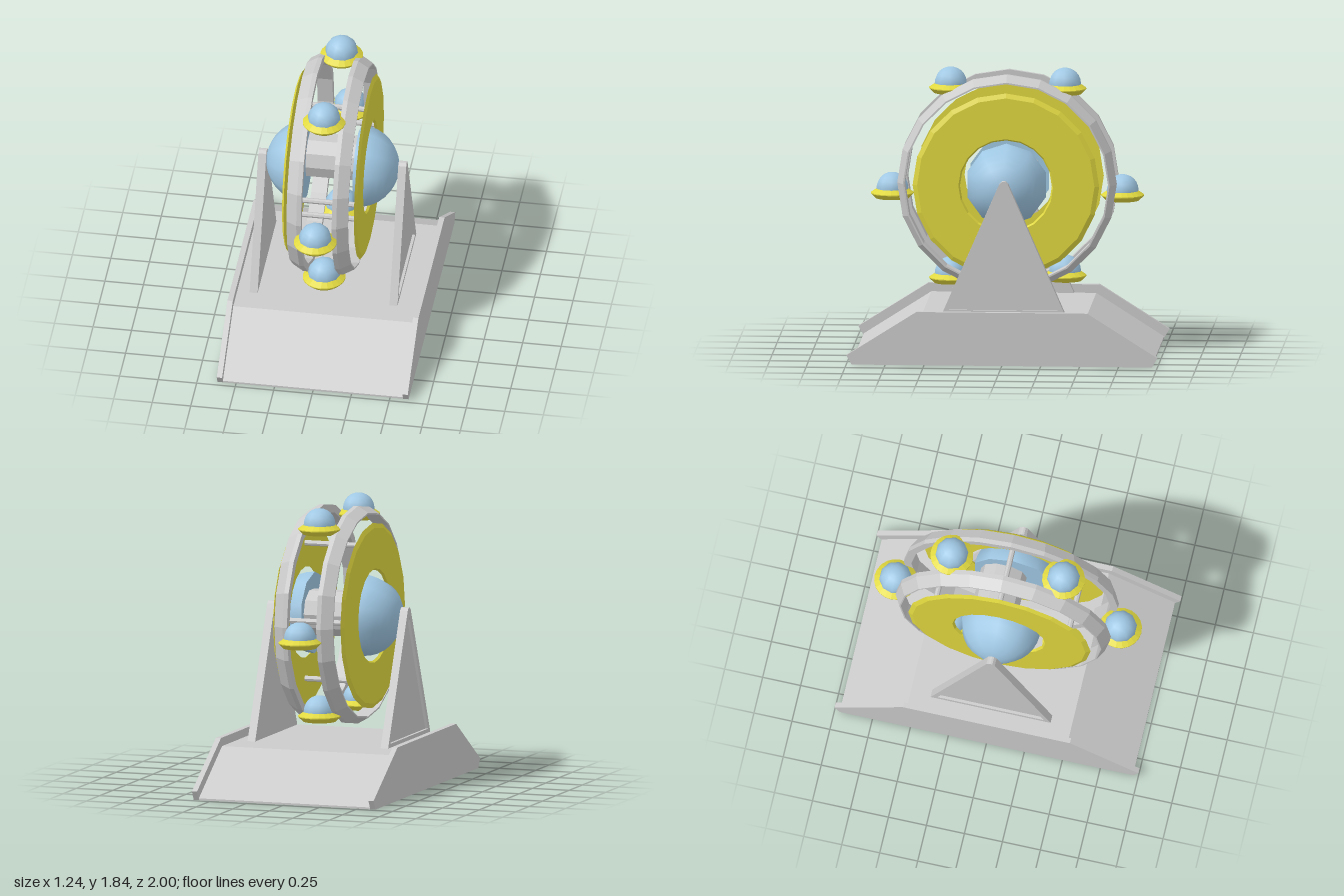
import * as THREE from 'three';

const grey = new THREE.MeshStandardMaterial({ color: 0xcccccc, flatShading: true, side: THREE.DoubleSide });
const yellow = new THREE.MeshStandardMaterial({ color: 0xe0d840, flatShading: true });
const blue = new THREE.MeshStandardMaterial({ color: 0xa0c8e4 });

const CX = -0.02; // wheel centre line
const AXLE_Y = 1.105;

function add(parent, name, geometry, material, x = 0, y = 0, z = 0) {
  const mesh = new THREE.Mesh(geometry, material);
  mesh.name = name;
  mesh.position.set(x, y, z);
  parent.add(mesh);
  return mesh;
}

const vectors = (pts) => pts.map(([a, b]) => new THREE.Vector2(a, b));

// Symmetric outline from its right half, listed bottom to top
function mirrored(half) {
  const other = half.filter(([a]) => a > 0).map(([a, b]) => [-a, b]).reverse();
  return vectors([...half, ...other]);
}

// Plate with a (z, y) outline, running from x0 to x1
function plate(outline, x0, x1, hole) {
  const shape = new THREE.Shape(outline);
  if (hole) shape.holes.push(new THREE.Path(hole));
  const geo = new THREE.ExtrudeGeometry(shape, { depth: x1 - x0, bevelEnabled: false });
  return geo.rotateY(Math.PI / 2).translate(x0, 0, 0);
}

// Solid of revolution about x; profile is [radius, distance from wheel centre]
function turned(profile, side, segments = 20) {
  return new THREE.LatheGeometry(vectors(profile), segments).rotateZ(-side * Math.PI / 2);
}

function addBase(model) {
  const base = new THREE.Group();
  base.name = 'base';
  model.add(base);
  add(base, 'platform', plate(mirrored([[0.965, 0], [0.965, 0.012], [0.53, 0.29]]), -0.59, 0.59), grey);
  const cheek = mirrored([[0.965, 0], [1, 0.06], [0.55, 0.345]]);
  for (const s of [-1, 1]) {
    add(base, 'sidePlate', plate(cheek, s > 0 ? 0.585 : -0.62, s > 0 ? 0.62 : -0.585), grey);
  }
}

function addSupports(model) {
  const outer = mirrored([[0.395, 0.31], [0.04, 1.125], [0.028, 1.152], [0.012, 1.168], [0, 1.17]]);
  const inner = mirrored([[0.35, 0.335], [0.012, 1.09], [0, 1.105]]);
  for (const s of [-1, 1]) {
    const support = new THREE.Group();
    support.name = 'support';
    model.add(support);
    // rim standing proud of a recessed panel on the outer side
    const span = (a, b) => (s > 0 ? [CX + a, CX + b] : [CX - b, CX - a]);
    add(support, 'supportFrame', plate(outer, ...span(0.428, 0.48), inner), grey);
    add(support, 'supportPanel', plate(inner, ...span(0.428, 0.462)), grey);
  }
}

function addWheel(model) {
  const wheel = new THREE.Group();
  wheel.name = 'wheel';
  model.add(wheel);
  const rim = [[0.655, 0.1], [0.705, 0.1], [0.705, 0.13], [0.665, 0.2], [0.655, 0.2], [0.655, 0.1]];
  const disc = [[0.295, 0.228], [0.6, 0.228], [0.57, 0.243], [0.305, 0.243], [0.295, 0.228]];
  for (const s of [-1, 1]) {
    add(wheel, 'rim', turned(rim, s), grey, CX, AXLE_Y);
    add(wheel, 'annularDisc', turned(disc, s), yellow, CX, AXLE_Y);
    // hub dome with its flat back
    const dome = new THREE.SphereGeometry(0.265, 10, 8, 0, Math.PI * 2, 0, Math.PI / 2);
    add(wheel, 'hubDome', dome.rotateZ(-s * Math.PI / 2), blue, CX + s * 0.165, AXLE_Y);
    const back = new THREE.CircleGeometry(0.265, 10, Math.PI / 2).rotateY(-s * Math.PI / 2);
    add(wheel, 'hubDomeBack', back, blue, CX + s * 0.165, AXLE_Y);
  }
  // hub between the domes
  const hub = new THREE.CylinderGeometry(0.15, 0.15, 0.33, 10).rotateZ(Math.PI / 2);
  add(wheel, 'hub', hub, grey, CX, 1.12, -0.06);
  // rods joining the two discs
  for (let i = 0; i < 4; i++) {
    const a = i * Math.PI / 2;
    const rod = new THREE.CylinderGeometry(0.018, 0.018, 0.46, 8).rotateZ(Math.PI / 2);
    add(wheel, 'crossRod', rod, grey, CX, 1.115 + 0.44 * Math.cos(a), 0.44 * Math.sin(a) - 0.005);
  }
}

function addCabins(model) {
  const spots = [[0.745, 1.015], [-0.735, 1.015], [0.37, 1.703], [-0.365, 1.703], [0.37, 0.47], [-0.365, 0.49]];
  const saucer = vectors([[0.108, -0.03], [0.138, 0], [0.138, 0.006], [0.1, 0.032], [0, 0.032]]);
  for (const [z, y] of spots) {
    const cabin = new THREE.Group();
    cabin.name = 'cabin';
    cabin.position.set(CX, y, z);
    model.add(cabin);
    add(cabin, 'saucer', new THREE.LatheGeometry(saucer, 20), yellow);
    add(cabin, 'saucerFloor', new THREE.CircleGeometry(0.108, 20).rotateX(Math.PI / 2), grey, 0, -0.03);
    const dome = new THREE.SphereGeometry(0.106, 10, 6, 0, Math.PI * 2, 0, Math.PI / 2);
    add(cabin, 'canopy', dome, blue, 0, 0.031);
  }
}

export function createModel() {
  const model = new THREE.Group();
  model.name = 'ferrisWheel';
  addBase(model);
  addSupports(model);
  addWheel(model);
  addCabins(model);
  return model;
}
